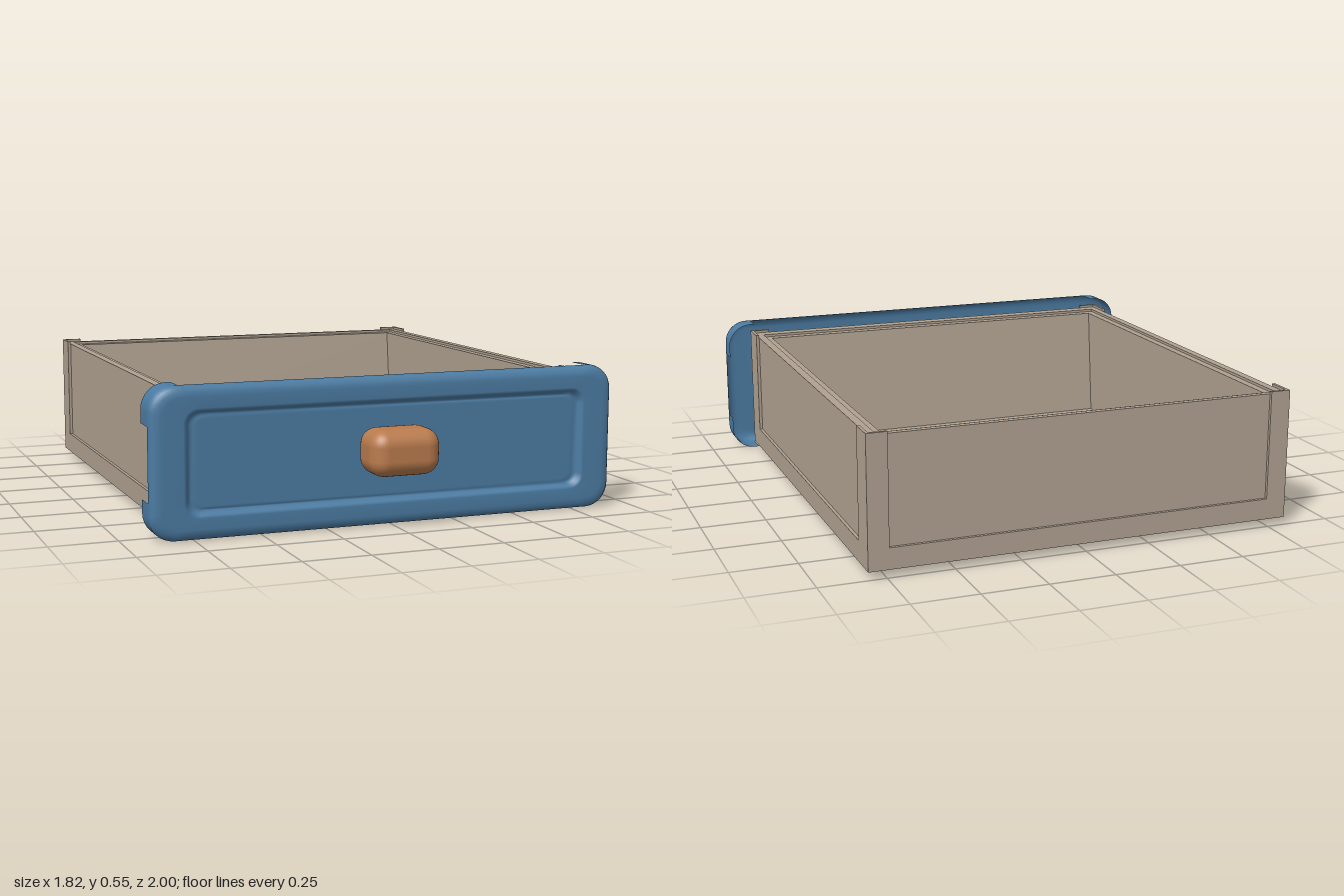
import * as THREE from 'three';
import { RoundedBoxGeometry } from 'three/addons/geometries/RoundedBoxGeometry.js';

const wood = new THREE.MeshStandardMaterial({ color: 0xb0a291 });
wood.name = 'greyWood';
const blue = new THREE.MeshStandardMaterial({ color: 0x4b7ba2, side: THREE.DoubleSide });
blue.name = 'bluePaint';
const brown = new THREE.MeshStandardMaterial({ color: 0xb97b4d });
brown.name = 'brownKnob';

function add(group, name, geometry, material) {
  const mesh = new THREE.Mesh(geometry, material);
  mesh.name = name;
  group.add(mesh);
  return mesh;
}

// Box given by its minimum and maximum corners
function slab(group, name, x0, x1, y0, y1, z0, z1) {
  const mesh = add(group, name, new THREE.BoxGeometry(x1 - x0, y1 - y0, z1 - z0), wood);
  mesh.position.set((x0 + x1) / 2, (y0 + y1) / 2, (z0 + z1) / 2);
}

function extrude(points, depth) {
  const shape = new THREE.Shape(points.map(([x, y]) => new THREE.Vector2(x, y)));
  return new THREE.ExtrudeGeometry(shape, { depth, bevelEnabled: false });
}

// U-shaped trim: two upright posts joined by a bottom rail
function trim(a, b, post, depth) {
  return extrude([[a, 0.03], [b, 0.03], [b, 0.525], [b - post, 0.525],
    [b - post, 0.11], [a + post, 0.11], [a + post, 0.525], [a, 0.525]], depth);
}

// Rounded rectangle, with a short straight run beside each corner arc
const STEPS = 8, CORNER = STEPS + 3, RING = CORNER * 4, MID_Y = 0.275;
function ring(hw, hh, r, z) {
  const out = [];
  for (let q = 0; q < 4; q++) {
    const sx = q === 0 || q === 3 ? 1 : -1, sy = q < 2 ? 1 : -1;
    const cx = sx * (hw - r), cy = sy * (hh - r);
    const arc = [];
    for (let i = 0; i <= STEPS; i++) {
      const t = (q + i / STEPS) * Math.PI / 2;
      arc.push([cx + r * Math.cos(t), cy + r * Math.sin(t)]);
    }
    const besideX = [cx - sx * 0.02, sy * hh], besideY = [sx * hw, cy - sy * 0.05];
    const ends = q % 2 === 0 ? [besideY, besideX] : [besideX, besideY];
    for (const [x, y] of [ends[0], ...arc, ends[1]]) out.push(x, y + MID_Y, z);
  }
  return out;
}

// Skin through the rings; after openFrom only the corners are joined
function frontShell() {
  const rings = [
    [0.735, 0.155, 0.03, 0.835], [0.75, 0.165, 0.035, 0.835], [0.76, 0.17, 0.04, 0.831],
    [0.77, 0.178, 0.045, 0.838], [0.78, 0.186, 0.05, 0.852], [0.79, 0.195, 0.055, 0.855],
    [0.865, 0.235, 0.07, 0.855], [0.885, 0.252, 0.08, 0.853], [0.9, 0.266, 0.088, 0.845],
    [0.908, 0.273, 0.09, 0.833], [0.91, 0.275, 0.09, 0.82],
    [0.91, 0.275, 0.09, 0.79], [0.91, 0.275, 0.09, 0.735],
  ];
  const openFrom = 10;
  const positions = rings.flatMap((r) => ring(...r));
  const centre = rings.length * RING;
  positions.push(0, MID_Y, 0.835);
  const index = [];
  for (let i = 0; i < RING; i++) {
    const n = (i + 1) % RING;
    index.push(centre, i, n);
    for (let k = 0; k < rings.length - 1; k++) {
      if (k >= openFrom && i % CORNER === CORNER - 1) continue;
      const a = k * RING, b = a + RING;
      index.push(a + i, b + i, b + n, a + i, b + n, a + n);
    }
  }
  const geometry = new THREE.BufferGeometry();
  geometry.setAttribute('position', new THREE.Float32BufferAttribute(positions, 3));
  geometry.setIndex(index);
  geometry.computeVertexNormals();
  return geometry;
}

export function createModel() {
  const model = new THREE.Group();
  model.name = 'drawer';

  // Box: floor, bottom frame and walls with a stepped top edge
  const box = new THREE.Group();
  box.name = 'drawerBox';
  model.add(box);
  slab(box, 'floor', -0.76, 0.76, 0.042, 0.06, -0.95, 0.68);
  for (const s of [-1, 1]) {
    const span = (a, b) => [Math.min(s * a, s * b), Math.max(s * a, s * b)];
    slab(box, 'sideWall', ...span(0.775, 0.806), 0.035, 0.515, -0.99, 0.72);
    slab(box, 'sideWallLedge', ...span(0.745, 0.775), 0.035, 0.505, -0.965, 0.67);
    slab(box, 'bottomFrameSide', ...span(0.72, 0.806), 0.03, 0.05, -0.99, 0.72);

    // Side trim runs front to back
    const side = add(box, 'sideTrim', trim(-0.73, 1, 0.11, 0.012), wood);
    side.rotation.y = Math.PI / 2;
    side.position.x = s > 0 ? 0.806 : -0.818;
  }

  // Front and back walls lean inward toward the floor
  for (const [label, outer, edge, top, foot, dir] of [
    ['back', -0.988, -0.965, -0.93, -0.88, 1],
    ['front', 0.72, 0.67, 0.635, 0.59, -1],
  ]) {
    slab(box, label + 'Wall', -0.806, 0.806, 0.035, 0.515, Math.min(outer, edge), Math.max(outer, edge));
    const profile = [[-edge, 0.035], [-foot, 0.045], [-foot, 0.06], [-top, 0.505], [-edge, 0.505]];
    const lean = add(box, label + 'WallLedge', extrude(profile, 1.5), wood);
    lean.rotation.y = Math.PI / 2;
    lean.position.x = -0.75;
    const inner = outer + dir * 0.08;
    slab(box, label + 'BottomFrame', -0.806, 0.806, 0.03, 0.05, Math.min(outer, inner), Math.max(outer, inner));
    const face = add(box, label + 'Trim', trim(-0.818, 0.818, 0.078, 0.012), wood);
    face.position.z = dir > 0 ? -1 : 0.718;
  }

  // Painted front, hollow behind and open along its edges
  add(model, 'frontPanel', frontShell(), blue);

  // Pull knob
  const knob = add(model, 'knob', new RoundedBoxGeometry(0.27, 0.17, 0.18, 5, 0.06), brown);
  knob.position.set(0, 0.285, 0.91);
  return model;
}
